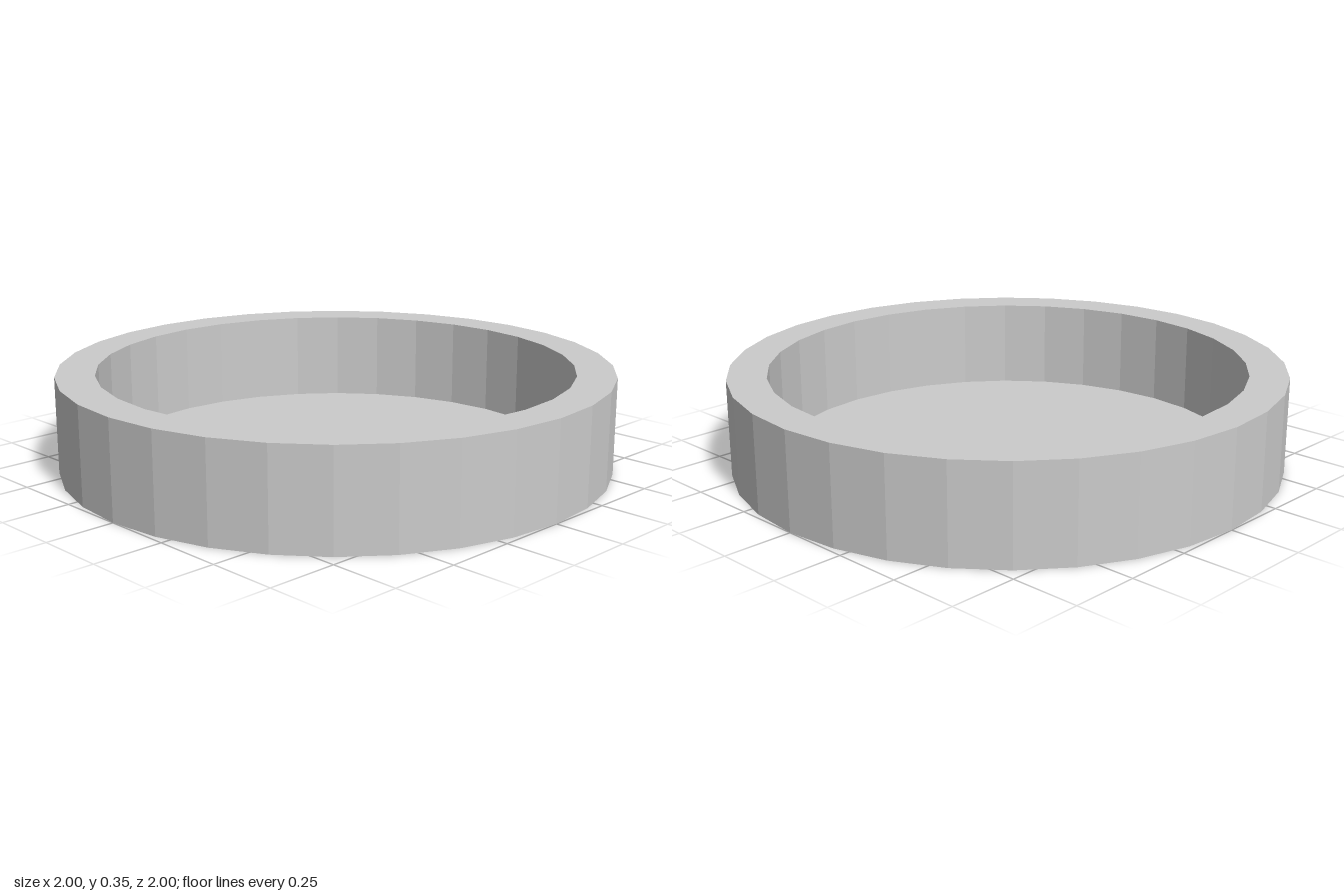
import * as THREE from 'three';

export function createModel() {
  const model = new THREE.Group();
  model.name = 'shallowDish';

  const sides = 32;
  const radius = 1, innerRadius = 0.86;
  const height = 0.35, floorHeight = 0.02;

  // Cross-section: underside, outer wall, flat rim, inner wall, floor
  const profile = [
    [0, 0], [radius, 0], [radius, height],
    [innerRadius, height], [innerRadius, floorHeight], [0, floorHeight],
  ].map(([r, y]) => new THREE.Vector2(r, y));

  // Faceted round dish with a thick wall and thin base
  const dish = new THREE.Mesh(
    new THREE.LatheGeometry(profile, sides),
    new THREE.MeshStandardMaterial({ color: 0xcccccc, flatShading: true })
  );
  dish.name = 'dish';
  model.add(dish);

  return model;
}
